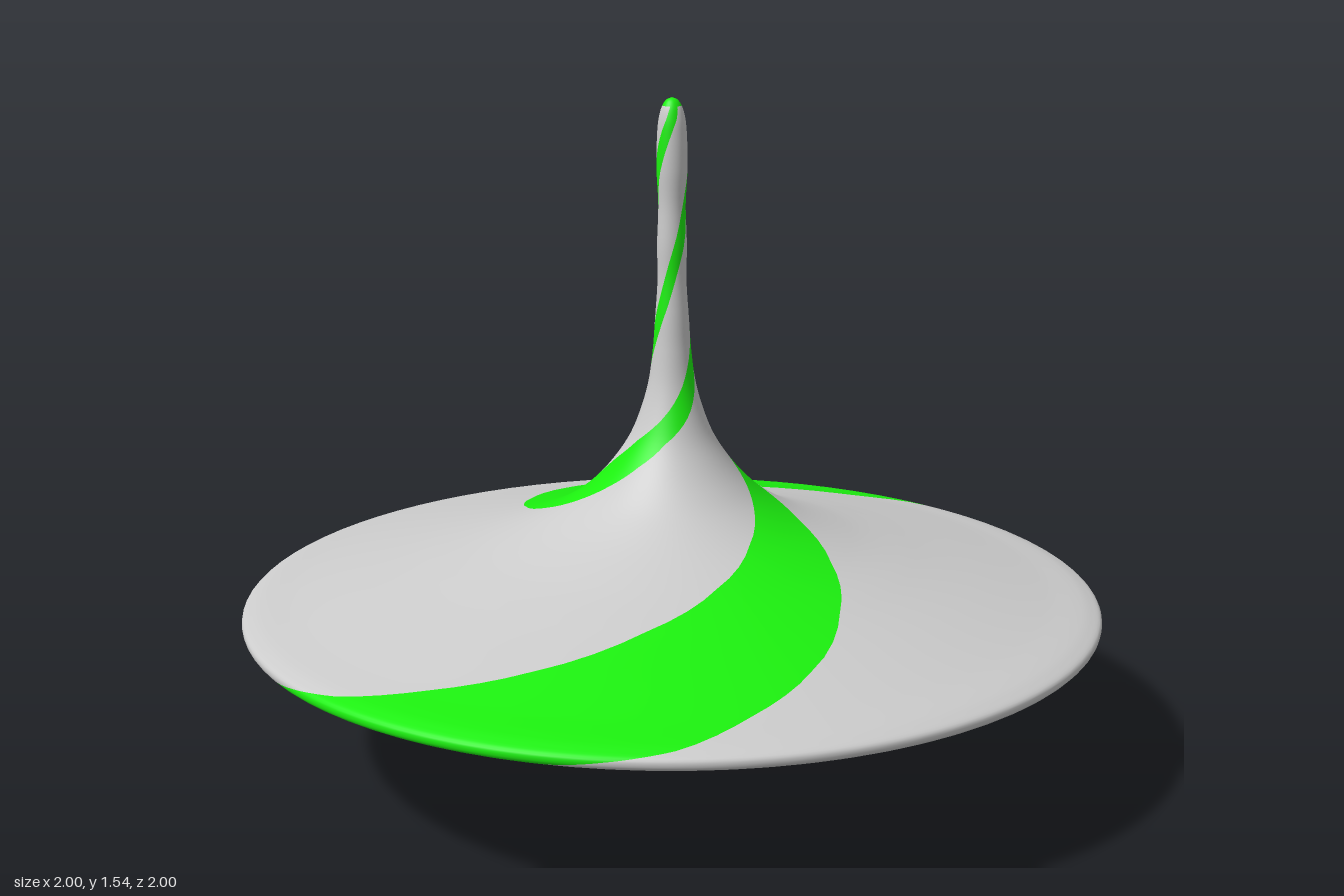
import * as THREE from 'three';

// Profile rows from tip to stem end: radius, height, twist of the stripes in degrees
const rows = [
  [0, 0.01, 290], [0.035, 0.03, 280], [0.075, 0.055, 265], [0.13, 0.085, 248], [0.2, 0.115, 230],
  [0.28, 0.15, 213], [0.38, 0.187, 197], [0.55, 0.248, 172], [0.7, 0.298, 156], [0.85, 0.337, 138],
  [0.95, 0.357, 125], [0.985, 0.364, 117], [0.998, 0.373, 112], [0.998, 0.388, 106],
  [0.975, 0.4, 100], [0.87, 0.422, 90], [0.745, 0.451, 78], [0.57, 0.493, 61], [0.42, 0.535, 42],
  [0.3, 0.583, 20], [0.22, 0.632, -3], [0.17, 0.677, -23], [0.13, 0.725, -44], [0.098, 0.775, -70],
  [0.075, 0.83, -108], [0.055, 0.9, -150], [0.044, 0.98, -192], [0.039, 1.05, -227],
  [0.033, 1.14, -272], [0.034, 1.22, -312], [0.031, 1.31, -355], [0.035, 1.39, -392],
  [0.034, 1.46, -430], [0.03, 1.505, -460], [0.022, 1.533, -475], [0.012, 1.547, -485], [0, 1.552, -490],
];
const SUB = 4; // smoothing steps between rows

function smoothProfile() {
  const curve = new THREE.CatmullRomCurve3(rows.map(([r, y]) => new THREE.Vector3(r, y, 0)));
  const n = (rows.length - 1) * SUB;
  return Array.from({ length: n + 1 }, (_, i) => {
    const p = curve.getPoint(i / n), t = curve.getTangent(i / n);
    const k = Math.min(Math.floor(i / SUB), rows.length - 2), f = i / SUB - k;
    const twist = THREE.MathUtils.degToRad(THREE.MathUtils.lerp(rows[k][2], rows[k + 1][2], f));
    return { r: Math.max(p.x, 0), y: p.y, nr: t.y, ny: -t.x, twist };
  });
}

// Twisted sector of the turned body between two rows
function sector(profile, from, to, startDeg, widthDeg) {
  const segs = Math.ceil(widthDeg / 4.5), w = segs + 1;
  const pos = [], nor = [], index = [];
  const part = profile.slice(from * SUB, to * SUB + 1);
  part.forEach(({ r, y, nr, ny, twist }, i) => {
    for (let j = 0; j <= segs; j++) {
      const a = twist + THREE.MathUtils.degToRad(startDeg + widthDeg * j / segs);
      pos.push(r * Math.cos(a), y, r * Math.sin(a));
      nor.push(nr * Math.cos(a), ny, nr * Math.sin(a));
      if (i < part.length - 1 && j < segs) {
        const q = i * w + j;
        index.push(q, q + w, q + w + 1, q, q + w + 1, q + 1);
      }
    }
  });
  const geo = new THREE.BufferGeometry();
  geo.setAttribute('position', new THREE.Float32BufferAttribute(pos, 3));
  geo.setAttribute('normal', new THREE.Float32BufferAttribute(nor, 3));
  geo.setIndex(index);
  return geo;
}

export function createModel() {
  const group = new THREE.Group();
  group.name = 'spinningTop';
  const grey = new THREE.MeshStandardMaterial({ color: 0xcccccc });
  const green = new THREE.MeshStandardMaterial({ color: 0x1cf00f });
  const profile = smoothProfile();
  const last = rows.length - 1, tipEnd = 2, capStart = last - 2;

  const add = (name, material, ...args) => {
    const mesh = new THREE.Mesh(sector(profile, ...args), material);
    mesh.name = name;
    group.add(mesh);
  };

  // Solid green tip and stem end
  add('tip', green, 0, tipEnd, 0, 360);
  add('stemEnd', green, capStart, last, 0, 360);

  // Two spiral stripes and the grey body between them
  for (const [i, turn] of [0, 180].entries()) {
    add(`spiralStripe${i + 1}`, green, tipEnd, capStart, turn, 45);
    add(`body${i + 1}`, grey, tipEnd, capStart, turn + 45, 135);
  }
  return group;
}
